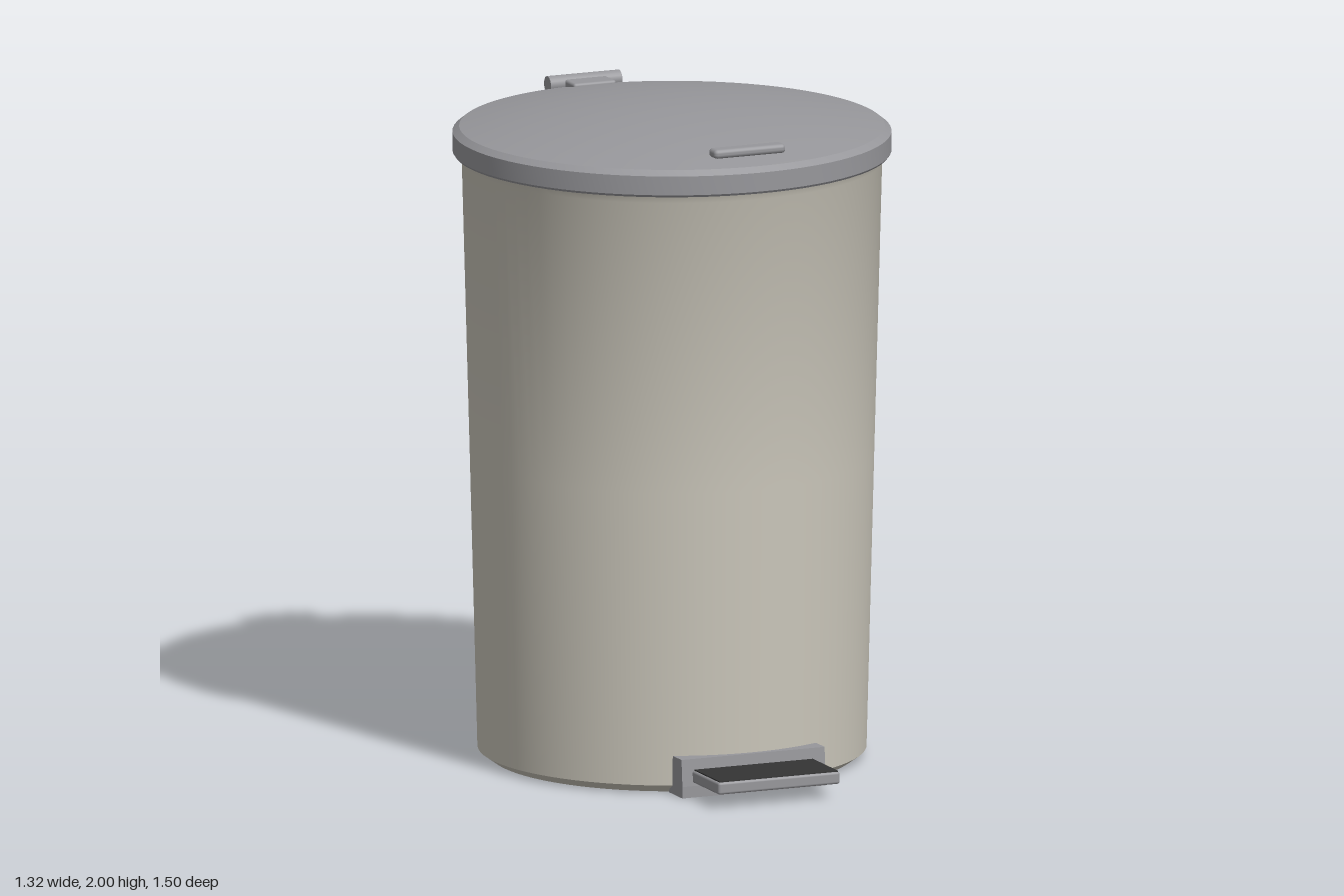
import * as THREE from 'three';
import { toCreasedNormals } from 'three/addons/utils/BufferGeometryUtils.js';
import { RoundedBoxGeometry } from 'three/addons/geometries/RoundedBoxGeometry.js';

const CENTRE_Z = -0.05; // axis of the bin

function material(name, color) {
  const m = new THREE.MeshStandardMaterial({ color });
  m.name = name;
  return m;
}

export function createModel() {
  const group = new THREE.Group();
  const shell = material('warm grey shell', 0xcbc7bb);
  const trim = material('mid grey trim', 0x97979b);
  const rubber = material('black rubber', 0x353535);

  const add = (name, geometry, mat, x = 0, y = 0, z = 0) => {
    const mesh = new THREE.Mesh(geometry, mat);
    mesh.name = name;
    mesh.position.set(x, y, z);
    group.add(mesh);
    return mesh;
  };
  const lathe = (points) => toCreasedNormals(
    new THREE.LatheGeometry(points.map(([r, y]) => new THREE.Vector2(r, y)), 80), 0.4);
  const box = (w, h, d, r = 0.008) => new RoundedBoxGeometry(w, h, d, 2, r);

  // Tapered body with chamfered foot and flared collar
  add('body', lathe([
    [0, 0.005], [0.55, 0.005], [0.585, 0.03], [0.608, 0.93], [0.632, 1.83], [0.645, 1.86], [0, 1.86],
  ]), shell, 0, 0, CENTRE_Z);

  // Domed lid with upright rim
  const lidProfile = [[0, 1.853], [0.655, 1.853], [0.66, 1.86], [0.66, 1.918], [0.64, 1.934]];
  for (let i = 1; i <= 10; i++) {
    const r = 0.64 * (1 - i / 10);
    lidProfile.push([r, 2 - 0.066 * (r / 0.64) ** 2]);
  }
  add('lid', lathe(lidProfile), trim, 0, 0, CENTRE_Z);
  add('lidHandle', box(0.235, 0.028, 0.052, 0.012), trim, 0, 1.967, 0.51);

  // Hinge at the back
  add('hingePlate', box(0.14, 0.03, 0.135), trim, 0, 1.94, -0.6875);
  const pin = add('hingePin', new THREE.CylinderGeometry(0.026, 0.026, 0.235, 24), trim, 0, 1.94, -0.71);
  pin.rotation.z = Math.PI / 2;
  add('hingeBracket', box(0.14, 0.14, 0.06), trim, 0, 1.835, -0.695);
  add('liftRod', new THREE.CylinderGeometry(0.013, 0.013, 1.72, 16), shell, 0, 0.96, -0.68);

  // Pedal housing: side profile with a sloping front, extruded across
  const side = new THREE.Shape();
  [[0.46, 0.005], [0.56, 0.005], [0.56, 0.04], [0.553, 0.122], [0.49, 0.122]]
    .forEach(([z, y], i) => (i ? side.lineTo(-z, y) : side.moveTo(-z, y)));
  const housing = new THREE.ExtrudeGeometry(side, { depth: 0.47, bevelEnabled: false });
  housing.translate(0, 0, -0.235);
  housing.rotateY(Math.PI / 2);
  add('pedalHousing', housing, trim);

  // Foot pedal with rubber tread
  add('pedal', box(0.4, 0.038, 0.25), trim, 0, 0.068, 0.625);
  add('pedalTread', new THREE.BoxGeometry(0.388, 0.006, 0.186), rubber, 0, 0.087, 0.651);

  return group;
}
